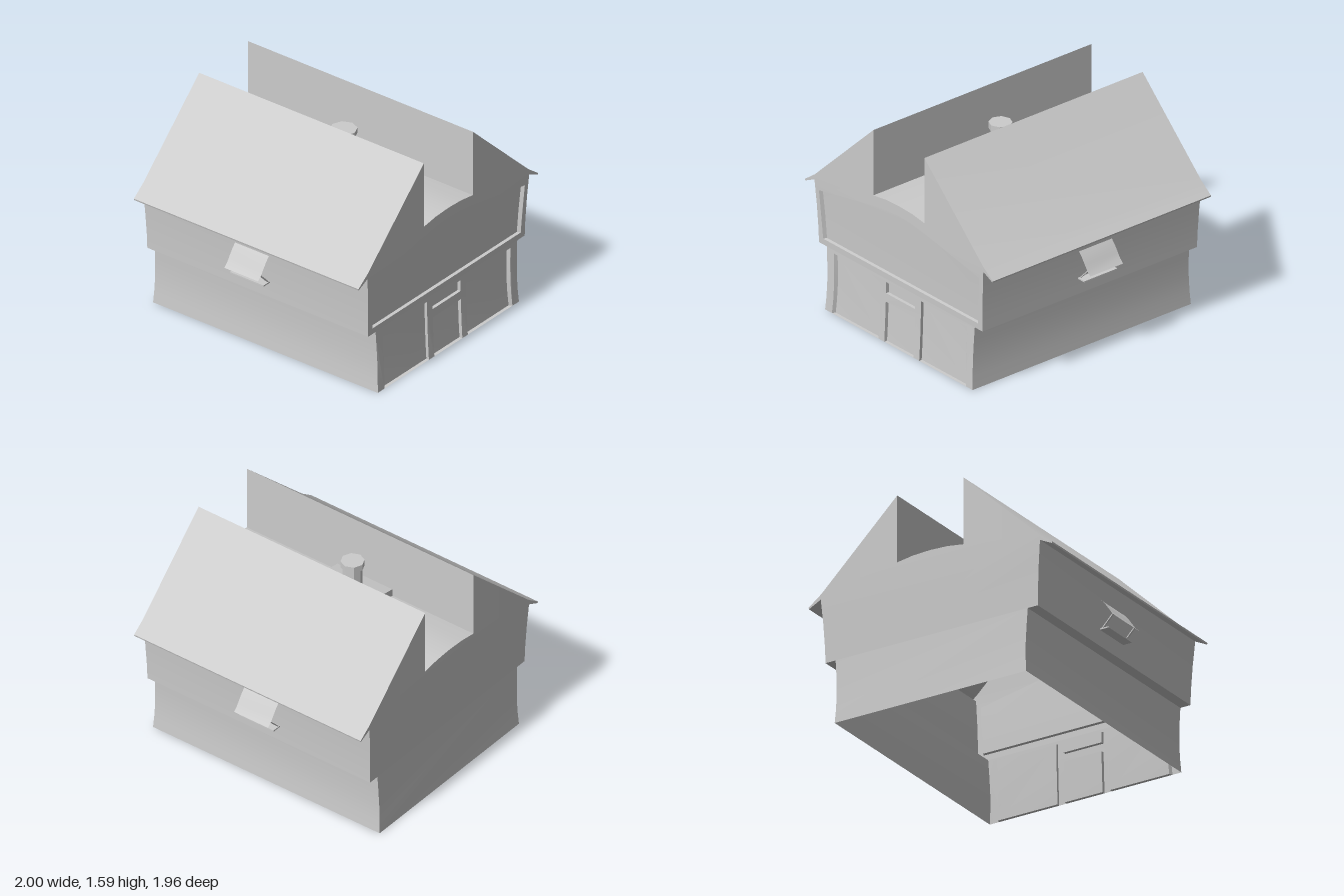
import * as THREE from 'three';
import { toCreasedNormals } from 'three/addons/utils/BufferGeometryUtils.js';

const material = new THREE.MeshStandardMaterial({ color: 0xcccccc, side: THREE.DoubleSide });

function add(parent, name, geometry) {
  const mesh = new THREE.Mesh(geometry, material);
  mesh.name = name;
  parent.add(mesh);
  return mesh;
}

// Half depth of the house at height y: the end walls bow inwards.
const depthCurve = [[0, 0.98], [0.12, 0.973], [0.3, 0.966], [0.48, 0.963], [0.7, 0.968], [0.93, 0.98], [2, 0.98]];
function halfDepth(y) {
  let i = 1;
  while (i < depthCurve.length - 1 && y > depthCurve[i][0]) i++;
  const [y0, d0] = depthCurve[i - 1], [y1, d1] = depthCurve[i];
  return d0 + (d1 - d0) * (y - y0) / (y1 - y0);
}

// Surface between two rows of points of equal length.
function loft(a, b) {
  const pos = [], index = [];
  a.forEach((p, i) => {
    pos.push(...p, ...b[i]);
    if (i) index.push(2 * i - 2, 2 * i, 2 * i - 1, 2 * i - 1, 2 * i, 2 * i + 1);
  });
  const g = new THREE.BufferGeometry();
  g.setAttribute('position', new THREE.Float32BufferAttribute(pos, 3));
  g.setIndex(index);
  return toCreasedNormals(g, 0.35);
}

const toShape = (pts) => new THREE.Shape(pts.map(([x, y]) => new THREE.Vector2(x, y)));
const mirrored = (pts) => pts.map(([x, y]) => [-x, y]).reverse();

// Flat outline bent onto the end wall (side +1 front, -1 back).
function wall(outline, holes = [], side = 1, inset = 0) {
  const shape = toShape(outline);
  shape.holes = holes.map(toShape);
  const g = new THREE.ShapeGeometry(shape);
  const p = g.attributes.position;
  for (let i = 0; i < p.count; i++) p.setZ(i, side * (halfDepth(p.getY(i)) - inset));
  g.computeVertexNormals();
  return g;
}

// Sunken panel with slightly tapering reveals.
function recess(parent, name, outline, sx, sy, cy) {
  const depth = 0.025;
  const inner = outline.map(([x, y]) => [x * sx, cy + (y - cy) * sy]);
  const row = (pts, d) => [...pts, pts[0]].map(([x, y]) => [x, y, halfDepth(y) - d]);
  const group = new THREE.Group();
  group.name = name;
  add(group, name + 'Reveal', loft(row(outline, 0), row(inner, depth)));
  add(group, name + 'Panel', wall(inner, [], 1, depth));
  parent.add(group);
}

export function createModel() {
  const house = new THREE.Group();
  house.name = 'house';

  // Half cross-section, from the ground up to the middle of the roof
  const lower = [[0.78, 0], [0.773, 0.1], [0.77, 0.22], [0.775, 0.36], [0.783, 0.48]];
  const upperWall = [[0.865, 0.48], [0.868, 0.6], [0.878, 0.78], [0.893, 0.96]];
  const roof = [[0.893, 0.96], [0.99, 0.912], [0.993, 0.924], [0.89, 1.0], [0.27, 1.59]];
  const valley = [[0.27, 1.085], [0.14, 1.104], [0, 1.11]];
  const upper = [...upperWall, ...roof.slice(1), ...valley];
  const close = (half) => [...half, ...mirrored(half).filter(([x]) => x !== 0)];

  // Long shells running from front to back
  const row = (pts, side) => pts.map(([x, y]) => [x, y, side * halfDepth(y)]);
  const shell = (name, pts) => add(house, name, loft(row(pts, 1), row(pts, -1)));
  for (const [label, flip] of [['left', (p) => p], ['right', mirrored]]) {
    shell(label + 'LowerWall', flip(lower));
    shell(label + 'OverhangUnderside', flip([lower[4], upper[0]]));
    shell(label + 'UpperWall', flip(upperWall));
    shell(label + 'Roof', flip(roof));
    shell(label + 'RoofInnerFace', flip([roof[4], valley[0]]));
  }
  shell('roofValley', [...valley, ...mirrored(valley).slice(1)]);

  // Back wall
  add(house, 'backLowerWall', wall(close(lower), [], -1));
  add(house, 'backUpperWall', wall(close(upper), [], -1));

  // Front ground floor with two shop windows, a door and a transom
  const windowRight = [[0.215, 0], [0.215, 0.1], [0.215, 0.22], [0.215, 0.36], [0.215, 0.455],
    [0.708, 0.455], [0.702, 0.36], [0.698, 0.22], [0.701, 0.1], [0.708, 0]];
  const windowLeft = mirrored(windowRight);
  const door = [[-0.155, 0], [-0.155, 0.12], [-0.155, 0.305], [0.155, 0.305], [0.155, 0.12], [0.155, 0]];
  const transom = [[-0.155, 0.37], [-0.155, 0.455], [0.155, 0.455], [0.155, 0.37]];
  add(house, 'frontLowerWall', wall([...close(lower), ...windowLeft, ...door, ...windowRight], [transom]));
  recess(house, 'leftShopWindow', windowRight, 0.985, 0.975, 0);
  recess(house, 'rightShopWindow', windowLeft, 0.985, 0.975, 0);
  recess(house, 'door', door, 0.995, 0.995, 0);
  recess(house, 'transom', transom, 0.995, 0.9, 0.37);

  // Front upper storey with its large sunken panel
  const panel = close([[0.82, 0.525], [0.833, 0.7], [0.848, 0.893], [0.57, 0.948], [0.28, 1.003], [0.12, 1.026], [0, 1.032]]);
  add(house, 'frontUpperWall', wall(close(upper), [panel]));
  recess(house, 'upperPanel', panel, 0.986, 0.975, 0.6);

  // Raised middle of the roof valley
  const block = toShape([[-0.27, 1.085], [0, 1.1], [0.27, 1.085], [0.27, 1.14], [0.14, 1.163],
    [0, 1.17], [-0.14, 1.163], [-0.27, 1.14]]);
  const blockGeometry = new THREE.ExtrudeGeometry(block, { depth: 0.475, bevelEnabled: false });
  add(house, 'raisedRoof', blockGeometry.translate(0, 0, -0.28));

  // Octagonal chimneys
  for (const [name, x, r, capR, capY, top] of [
    ['rightChimney', -0.13, 0.069, 0.084, 1.315, 1.363],
    ['leftChimney', 0.138, 0.083, 0.097, 1.262, 1.302]]) {
    const chimney = new THREE.Group();
    chimney.name = name;
    chimney.position.set(x, 0, -0.043);
    const tube = (part, radius, y0, y1) => add(chimney, part,
      new THREE.CylinderGeometry(radius, radius, y1 - y0, 8).toNonIndexed().translate(0, (y0 + y1) / 2, 0))
      .geometry.computeVertexNormals();
    tube('chimneyShaft', r, 1.12, capY);
    tube('chimneyCap', capR, capY, top);
    house.add(chimney);
  }

  // Awning, ledge and struts on each long side
  for (const side of [1, -1]) {
    const awning = new THREE.Group();
    awning.name = side > 0 ? 'leftAwning' : 'rightAwning';
    awning.scale.x = side;
    const sheet = [[0.88, 0.818], [0.913, 0.78], [0.943, 0.737], [0.968, 0.7], [1, 0.67]];
    const at = (z) => sheet.map(([x, y]) => [x, y, z]);
    add(awning, 'awningSheet', loft(at(0.11), at(-0.185)));
    add(awning, 'ledge', new THREE.BoxGeometry(0.075, 0.01, 0.295).translate(0.902, 0.604, -0.0375));
    for (const z of [0.098, -0.173]) {
      const strut = add(awning, 'strut', new THREE.BoxGeometry(0.135, 0.008, 0.012));
      strut.position.set(0.92, 0.65, z);
      strut.rotation.z = 0.8;
    }
    house.add(awning);
  }
  return house;
}
